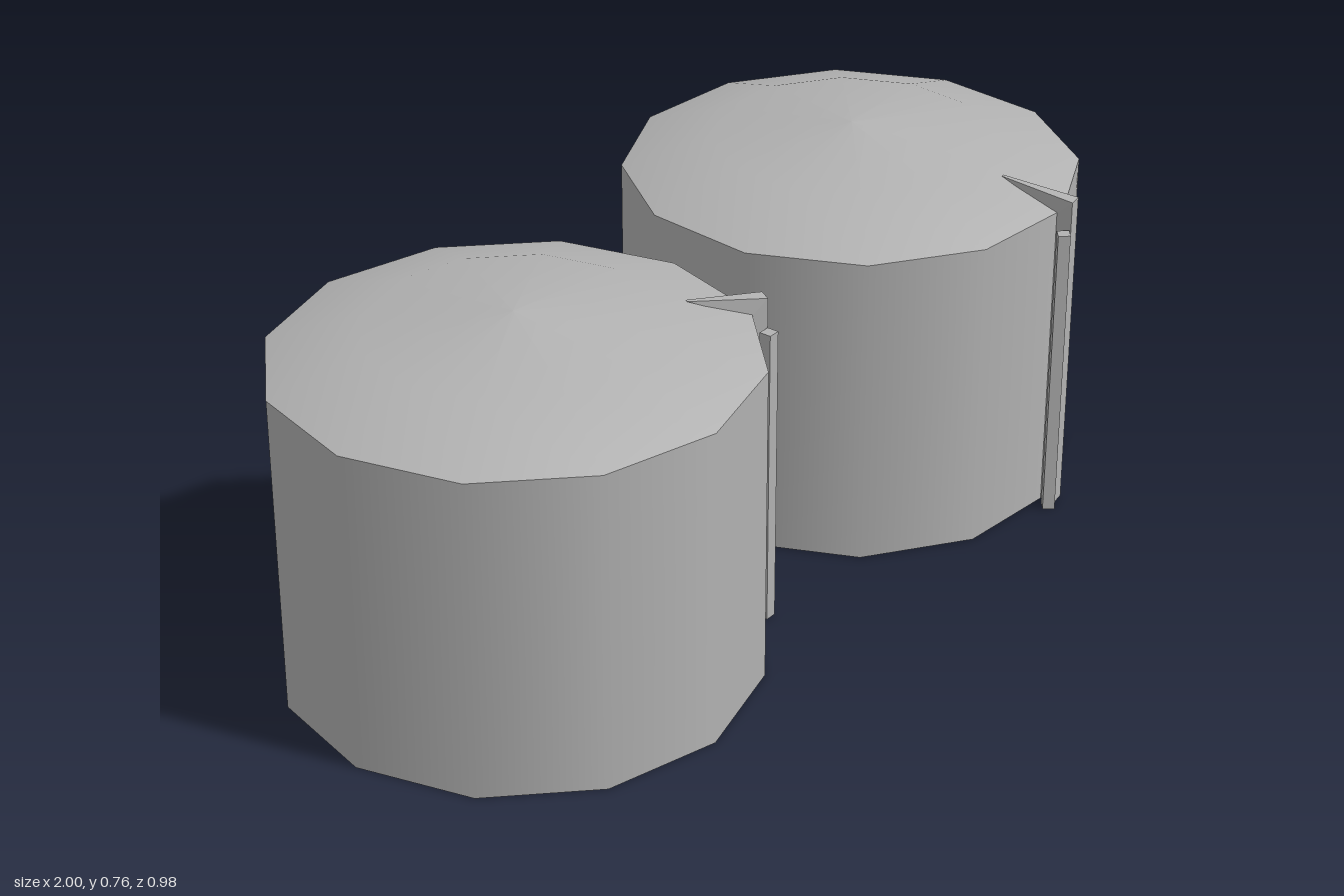
import * as THREE from 'three';

const SIDES = 12;
const RADIUS = 0.473;
const WALL_HEIGHT = 0.666;

const steel = new THREE.MeshStandardMaterial({ color: 0xb2b2b2, side: THREE.DoubleSide });
steel.name = 'grey steel';

function part(name, geometry) {
  const mesh = new THREE.Mesh(geometry, steel);
  mesh.name = name;
  return mesh;
}

// Upright riser that bends inward and tapers to a tip on the roof
function riserGeometry() {
  const profile = [[0.465, 0], [0.5, 0], [0.5, 0.695], [0.34, 0.713], [0.465, 0.66]];
  const shape = new THREE.Shape(profile.map(([r, y]) => new THREE.Vector2(r, y)));
  const width = 0.03;
  const geometry = new THREE.ExtrudeGeometry(shape, { depth: width, bevelEnabled: false });
  geometry.translate(0, 0, -width / 2);
  const pos = geometry.attributes.position;
  for (let i = 0; i < pos.count; i++) {
    if (pos.getX(i) < 0.4) pos.setZ(i, pos.getZ(i) * 0.25);
  }
  geometry.computeVertexNormals();
  return geometry;
}

function createTank(name) {
  const tank = new THREE.Group();
  tank.name = name;

  // Shell, open underneath
  const wall = part('wall', new THREE.CylinderGeometry(RADIUS, RADIUS, WALL_HEIGHT, SIDES, 1, true));
  wall.position.y = WALL_HEIGHT / 2;

  // Shallow two-slope dome
  const roofProfile = [[RADIUS, WALL_HEIGHT], [0.29, 0.728], [0, 0.757]];
  const roof = part('roof', new THREE.LatheGeometry(
    roofProfile.map(([r, y]) => new THREE.Vector2(r, y)), SIDES));

  const riser = part('riserPipe', riserGeometry());
  riser.rotation.y = -THREE.MathUtils.degToRad(30.5);

  // Shorter post standing beside the riser
  const post = part('gaugePost', new THREE.BoxGeometry(0.025, 0.635, 0.025));
  post.position.set(0.407, 0.3175, 0.282);

  tank.add(wall, roof, riser, post);
  return tank;
}

export function createModel() {
  const model = new THREE.Group();
  model.name = 'storageTanks';

  const rightTank = createTank('rightTank');
  rightTank.position.set(-0.527, 0, -0.02);

  const leftTank = createTank('leftTank');
  leftTank.position.set(0.531, 0, -0.02);
  leftTank.rotation.y = -THREE.MathUtils.degToRad(50);

  model.add(rightTank, leftTank);
  return model;
}
